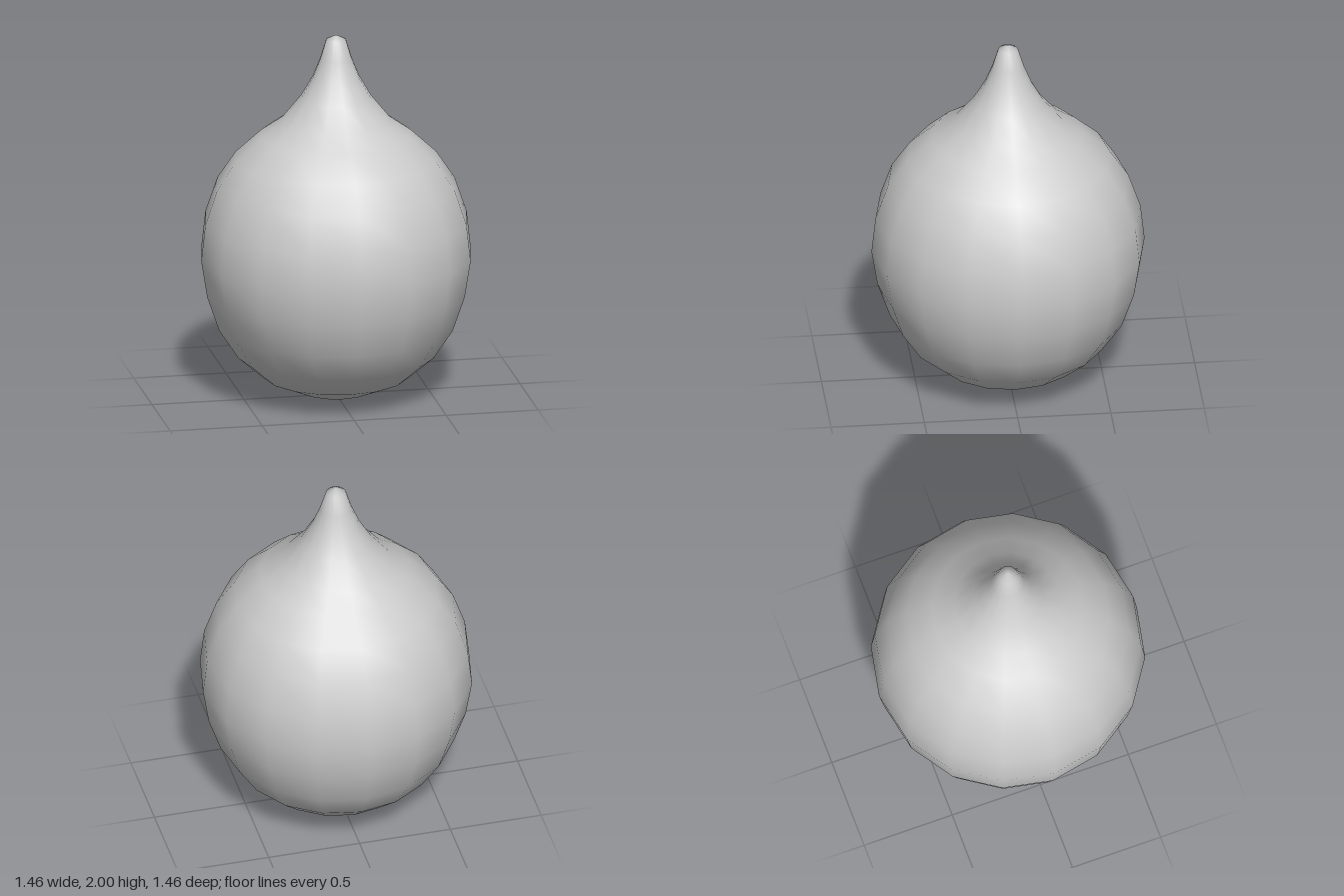
import * as THREE from 'three';
import { mergeVertices } from 'three/addons/utils/BufferGeometryUtils.js';

export function createModel() {
  const group = new THREE.Group();
  group.name = 'dropletBulb';

  // Profile from the bottom pole, round the bulb, up the neck to the tip
  const profile = [
    [0, 0], [0.2, 0.03], [0.39, 0.11], [0.53, 0.23], [0.635, 0.39], [0.7, 0.58],
    [0.732, 0.78], [0.71, 0.98], [0.645, 1.17], [0.545, 1.32], [0.405, 1.45],
    [0.29, 1.53], [0.19, 1.655], [0.127, 1.765], [0.085, 1.87], [0.053, 1.975], [0, 2],
  ].map(([r, y]) => new THREE.Vector2(r, y));

  // Weld the seam and poles so the shading is smooth all over
  const lathe = new THREE.LatheGeometry(profile, 16);
  lathe.deleteAttribute('normal');
  lathe.deleteAttribute('uv');
  const geometry = mergeVertices(lathe, 1e-4);
  geometry.computeVertexNormals();

  const body = new THREE.Mesh(geometry, new THREE.MeshStandardMaterial({ color: 0xcccccc }));
  body.name = 'body';
  group.add(body);
  return group;
}
